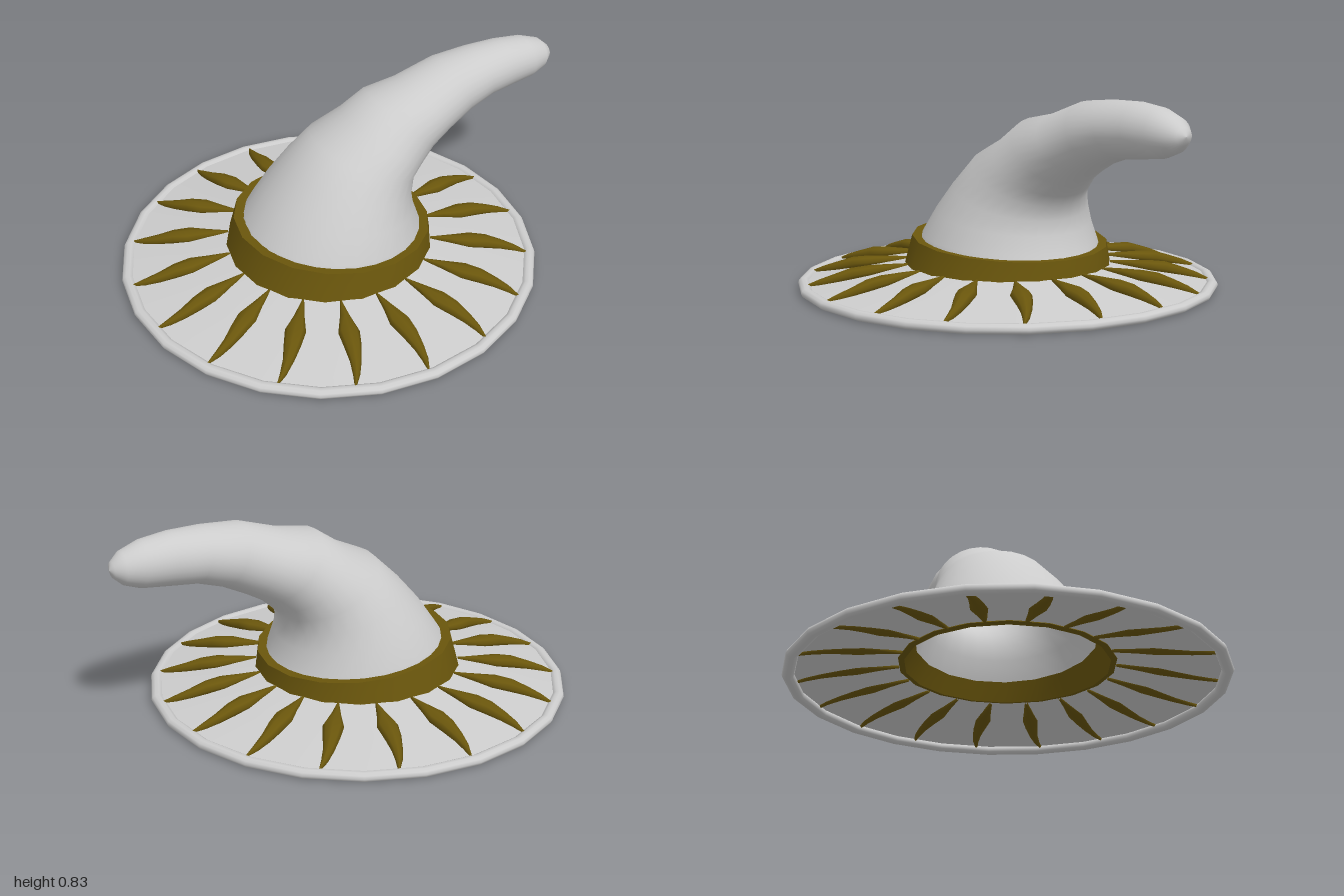
import * as THREE from 'three';
import { toCreasedNormals } from 'three/addons/utils/BufferGeometryUtils.js';

const CX = -0.1; // centre of the brim

const felt = new THREE.MeshStandardMaterial({ name: 'grey felt', color: 0xcccccc, side: THREE.DoubleSide });
const gold = new THREE.MeshStandardMaterial({ name: 'dark gold', color: 0x6a560c, side: THREE.DoubleSide });

// Skin a list of cross-sections; section(u, angle) returns [x, y, z]
function loft(sections, sides, point) {
  const positions = [], index = [];
  sections.forEach((s) => {
    for (let j = 0; j < sides; j++) positions.push(...point(s, (j / sides) * Math.PI * 2));
  });
  for (let i = 0; i < sections.length - 1; i++) {
    for (let j = 0; j < sides; j++) {
      const k = (j + 1) % sides;
      const a = i * sides + j, b = i * sides + k, c = a + sides, d = b + sides;
      index.push(a, c, b, b, c, d);
    }
  }
  const g = new THREE.BufferGeometry();
  g.setAttribute('position', new THREE.Float32BufferAttribute(positions, 3));
  g.setIndex(index);
  g.computeVertexNormals();
  return g;
}

function add(parent, name, geometry, material) {
  const mesh = new THREE.Mesh(geometry, material);
  mesh.name = name;
  parent.add(mesh);
  return mesh;
}

// Height of the sloping brim at radius r
const brimY = (r) => 0.03 + ((0.86 - r) / 0.43) * 0.07;

export function createModel() {
  const hat = new THREE.Group();
  hat.name = 'hat';

  // Brim: shallow open cone with a rolled rim
  const brim = loft([0.87, 0.65, 0.43], 24, (r, t) => [CX + r * Math.cos(t), brimY(r), r * Math.sin(t)]);
  add(hat, 'brim', brim, felt);
  const rimGeo = new THREE.TorusGeometry(0.875, 0.025, 10, 24).rotateX(Math.PI / 2).scale(1, 0.8, 1);
  add(hat, 'rim', rimGeo, felt).position.set(CX, 0.02, 0);

  // Band: thick ring, its top tilted down to the right of the page
  // [centre x, radius, height, tilt]
  const bandRings = [
    [CX, 0.445, 0.095, 0],
    [-0.085, 0.42, 0.203, 0.08],
    [-0.088, 0.375, 0.2, 0.08],
    [CX, 0.42, 0.09, 0],
    [CX, 0.445, 0.095, 0],
  ];
  const band = loft(bandRings, 18, ([x, r, y, tilt], t) => [
    x + r * Math.cos(t), y - tilt * r * Math.cos(t), r * Math.sin(t),
  ]);
  add(hat, 'band', toCreasedNormals(band, 0.6), gold);

  // Crown: bent horn, each section as [upper x, y, lower x, y, half width]
  const crownSections = [
    [-0.47, 0.21, 0.3, 0.155, 0.385],
    [-0.455, 0.24, 0.285, 0.19, 0.38],
    [-0.37, 0.36, 0.262, 0.26, 0.34],
    [-0.265, 0.48, 0.255, 0.32, 0.3],
    [-0.15, 0.59, 0.27, 0.38, 0.26],
    [0, 0.66, 0.31, 0.425, 0.23],
    [0.11, 0.735, 0.365, 0.475, 0.205],
    [0.26, 0.762, 0.45, 0.525, 0.175],
    [0.44, 0.82, 0.55, 0.575, 0.15],
    [0.6, 0.833, 0.66, 0.61, 0.128],
    [0.74, 0.834, 0.78, 0.622, 0.11],
    [0.86, 0.82, 0.885, 0.634, 0.095],
    [0.945, 0.79, 0.95, 0.658, 0.07],
    [0.985, 0.755, 0.985, 0.69, 0.038],
    [0.997, 0.722, 0.997, 0.722, 0],
  ];
  const crown = loft(crownSections, 28, ([ux, uy, lx, ly, w], t) => {
    const c = Math.cos(t);
    return [(ux + lx) / 2 + ((lx - ux) / 2) * c, (uy + ly) / 2 + ((ly - uy) / 2) * c, w * Math.sin(t)];
  });
  add(hat, 'crown', crown, felt);

  // Flames: wavy lens-shaped rays, as [radius, sideways shift, half width, top height]
  const flameSections = [
    [0.44, 0.012, 0.004, 0.106],
    [0.53, 0.008, 0.022, 0.108],
    [0.61, 0.005, 0.043, 0.108],
    [0.68, 0.001, 0.035, 0.102],
    [0.75, 0, 0.023, 0.08],
    [0.81, 0.006, 0.014, 0.06],
    [0.86, 0.018, 0.003, 0.038],
  ];
  const flame = loft(flameSections, 8, ([r, shift, w, top], t) => {
    const bottom = brimY(r) - 0.012;
    return [
      shift + w * Math.cos(t),
      (top + bottom) / 2 + ((top - bottom) / 2) * Math.sin(t),
      -r,
    ];
  });
  const flames = new THREE.Group();
  flames.name = 'flames';
  flames.position.x = CX;
  for (let i = 0; i < 18; i++) {
    add(flames, 'flame', flame, gold).rotation.y = (-i * Math.PI) / 9;
  }
  hat.add(flames);

  return hat;
}
